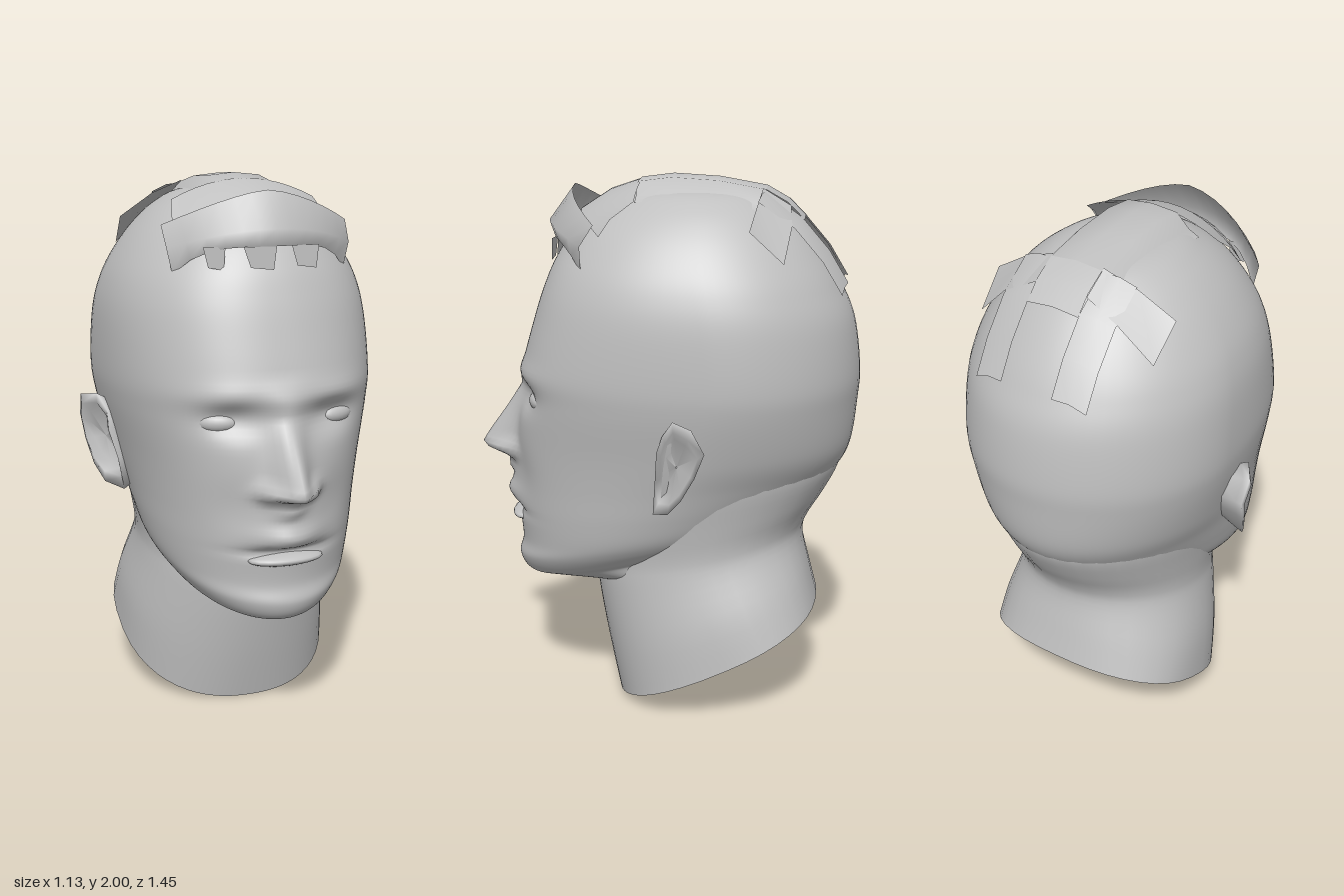
import * as THREE from 'three';

const skin = new THREE.MeshStandardMaterial({ color: 0xc0c0c0, side: THREE.DoubleSide });
skin.name = 'plain grey';

// Skin a surface over rows of [x, y, z] points; closed rows wrap around.
function surface(name, rows, closed = false) {
  const n = rows[0].length, cols = closed ? n : n - 1, index = [];
  for (let j = 0; j < rows.length - 1; j++) {
    for (let i = 0; i < cols; i++) {
      const k = (i + 1) % n;
      const a = j * n + i, b = j * n + k, c = (j + 1) * n + k, d = (j + 1) * n + i;
      index.push(a, b, c, a, c, d);
    }
  }
  const g = new THREE.BufferGeometry();
  g.setAttribute('position', new THREE.Float32BufferAttribute(rows.flat(2), 3));
  g.setIndex(index);
  g.computeVertexNormals();
  const mesh = new THREE.Mesh(g, skin);
  mesh.name = name;
  return mesh;
}

// Smooth interpolation through one column of a table
function spline(table, col, t) {
  const i = Math.min(Math.floor(t), table.length - 2), f = t - i;
  const v = (k) => table[Math.max(0, Math.min(table.length - 1, k))][col];
  const a = v(i - 1), b = v(i), c = v(i + 1), d = v(i + 2);
  return b + 0.5 * f * (c - a + f * (2 * a - 5 * b + 4 * c - d + f * (3 * (b - c) + d - a)));
}

// Rings from sections [yFront, yBack, halfWidth, zFront, zBack, zWidest, frontPower, backPower];
// powers above 2 make that half blunter than an ellipse.
function rings(table, sides, steps, relief) {
  const rows = [], count = (table.length - 1) * steps;
  for (let j = 0; j <= count; j++) {
    const [yF, yB, w, zF, zB, zc, pF, pB] = table[0].map((_, c) => spline(table, c, j / steps));
    const row = [];
    for (let i = 0; i < sides; i++) {
      const t = (i / sides) * Math.PI * 2, a = t - 0.4 * Math.sin(t);
      const s = Math.sin(a), front = Math.cos(a) > 0, p = front ? pF : pB, x = w * s;
      const z = zc + ((front ? zF : zB) - zc) * Math.max(0, 1 - Math.abs(s) ** p) ** (1 / p);
      const y = yF + (yB - yF) * (zF - z) / (zF - zB);
      row.push([x, y, z + (front ? relief(x, y) : 0)]);
    }
    rows.push(row);
  }
  return rows;
}

const bump = (x, y, cx, cy, sx, sy) => Math.exp(-(((x - cx) / sx) ** 2) - ((y - cy) / sy) ** 2);

// Nose projection by height: [y, amount, half width]
const NOSE = [[0.86, 0.015, 0.05], [0.915, 0.04, 0.07], [0.94, 0.13, 0.075], [0.96, 0.15, 0.07],
  [0.99, 0.135, 0.06], [1.1, 0.07, 0.055], [1.2, 0.02, 0.06], [1.26, 0.022, 0.08], [1.34, 0, 0.1]];

// Facial relief added to the front of the skull
function face(x, y) {
  const ax = Math.abs(x);
  let d = 0;
  for (let i = 0; i < NOSE.length - 1; i++) {
    const [y0, a0, w0] = NOSE[i], [y1, a1, w1] = NOSE[i + 1];
    if (y >= y0 && y < y1) {
      const f = (y - y0) / (y1 - y0);
      d += (a0 + (a1 - a0) * f) * Math.exp(-((x / (w0 + (w1 - w0) * f)) ** 2));
    }
  }
  d += 0.035 * bump(ax, y, 0.08, 0.95, 0.035, 0.03);   // nostril wings
  d -= 0.04 * bump(ax, y, 0.18, 1.19, 0.1, 0.055);     // eye sockets
  d -= 0.012 * bump(ax, y, 0.18, 0.88, 0.08, 0.1);     // hollows beside the mouth
  d += 0.012 * bump(ax, y, 0.2, 1.275, 0.13, 0.04);    // brows
  d += 0.045 * bump(x, y, 0, 0.78, 0.11, 0.045);       // upper lip
  d += 0.02 * bump(x, y, 0, 0.86, 0.08, 0.04);         // lip groove
  d -= 0.035 * bump(x, y, 0, 0.725, 0.14, 0.016);      // mouth crease
  return d;
}

// Under-chin opening, jaw, face and skull
const HEAD = [
  [0.455, 0.72, 0.29, 0.25, -0.4, 0.02, 2, 2], [0.455, 0.72, 0.29, 0.48, -0.42, 0.04, 2, 2],
  [0.47, 0.73, 0.315, 0.55, -0.44, 0.05, 2, 2], [0.53, 0.75, 0.352, 0.58, -0.47, 0.06, 2, 2],
  [0.6, 0.79, 0.38, 0.565, -0.51, 0.05, 2, 2], [0.72, 0.84, 0.403, 0.575, -0.57, 0.02, 2, 2],
  [0.85, 0.92, 0.425, 0.58, -0.65, -0.04, 2.05, 2], [1, 1.02, 0.455, 0.57, -0.7, -0.13, 2.2, 2],
  [1.18, 1.18, 0.492, 0.545, -0.72, -0.18, 2.35, 2], [1.3, 1.3, 0.503, 0.535, -0.725, -0.19, 2.4, 2],
  [1.48, 1.48, 0.495, 0.485, -0.7, -0.17, 2.35, 2], [1.6, 1.6, 0.47, 0.445, -0.65, -0.15, 2.3, 2],
  [1.7, 1.7, 0.425, 0.4, -0.59, -0.13, 2.2, 2], [1.8, 1.8, 0.355, 0.33, -0.51, -0.12, 2.1, 2],
  [1.88, 1.88, 0.27, 0.23, -0.42, -0.12, 2, 2], [1.93, 1.93, 0.17, 0.11, -0.31, -0.11, 2, 2],
  [1.945, 1.945, 0.001, -0.1, -0.102, -0.101, 2, 2]];

// Neck, running up the nape into the back of the skull
const NECK = [
  [0, 0.39, 0.42, 0.175, -0.59, -0.26, 2.3, 2.5], [0.22, 0.51, 0.405, 0.225, -0.56, -0.2, 2.1, 2.3],
  [0.44, 0.65, 0.365, 0.265, -0.53, -0.14, 2, 2.1], [0.53, 0.73, 0.357, 0.265, -0.55, -0.14, 2, 2],
  [0.66, 0.83, 0.37, 0.24, -0.61, -0.14, 2, 2], [0.82, 0.94, 0.39, 0.2, -0.664, -0.15, 2, 2],
  [0.98, 1.04, 0.4, 0.15, -0.67, -0.16, 2, 2]];

// Ear rim [z, y, x], front edge round to the top
const EAR = [[-0.05, 1.13, 0.49], [-0.03, 1.07, 0.49], [-0.02, 0.95, 0.46], [-0.01, 0.83, 0.44],
  [-0.07, 0.85, 0.5], [-0.12, 0.91, 0.53], [-0.17, 1, 0.55], [-0.205, 1.09, 0.56],
  [-0.16, 1.175, 0.565], [-0.09, 1.19, 0.52]];

function ear(side) {
  const ring = (scale, toX) => {
    const r = EAR.map(([z, y, x]) => [side * toX(x), 1.02 + (y - 1.02) * scale, -0.1 + (z + 0.1) * scale]);
    return side < 0 ? r.reverse() : r;
  };
  return surface(side > 0 ? 'leftEar' : 'rightEar', [
    ring(0.72, () => 0.42), ring(0.9, (x) => x - 0.03), ring(1, (x) => x),
    ring(0.78, (x) => x), ring(0.6, (x) => x - 0.03), ring(0.02, () => 0.485)], true);
}

function ellipsoid(name, pos, scale, turn = 0) {
  const m = new THREE.Mesh(new THREE.SphereGeometry(1, 20, 12), skin);
  m.name = name;
  m.position.set(...pos);
  m.scale.set(...scale);
  m.rotation.y = turn;
  return m;
}

// Row of points across the head, u running from -1 to 1
const across = (fn, n = 12) => Array.from({ length: n + 1 }, (_, i) => fn(-1 + (2 * i) / n));

export function createModel() {
  const model = new THREE.Group();
  model.name = 'head';

  model.add(surface('skullAndFace', rings(HEAD, 96, 8, face), true));
  model.add(surface('neck', rings(NECK, 48, 4, () => 0), true));
  model.add(ellipsoid('lowerLip', [0, 0.695, 0.54], [0.14, 0.024, 0.062]));

  // Curved front crest with a ragged lower edge
  model.add(surface('frontCrest', [
    across((u) => [0.32 * u, 1.77 - 0.1 * u ** 4, 0.41 - 0.15 * u * u]),
    across((u) => [0.34 * u, 1.83 - 0.07 * u * u, 0.43 - 0.17 * u * u]),
    across((u) => [0.345 * u, 1.955 - 0.12 * Math.abs(u) ** 1.5, 0.34 - 0.13 * u * u])]));
  for (const [x, w] of [[-0.2, 0.04], [-0.05, 0.06], [0.12, 0.05]]) {
    const z = 0.415 - 1.2 * x * x;
    model.add(surface('crestTooth', [
      [[x - w * 0.6, 1.7, z], [x + w * 0.8, 1.69, z]],
      [[x - w, 1.77, z - 0.005], [x + w, 1.77, z - 0.005]]]));
  }

  // Flap behind the crest
  model.add(surface('frontFlap', [
    across((u) => [0.3 * u, 1.87 - 0.08 * u * u, 0.31 - 0.11 * u * u]),
    across((u) => [0.29 * u, 1.94 - 0.09 * u * u, 0.2 - 0.04 * u * u]),
    across((u) => [0.27 * u, 1.98 - 0.07 * u * u, 0.08])]));

  // Raised band along the top
  const spine = [[0.09, 1.98], [-0.03, 1.995], [-0.2, 1.985], [-0.37, 1.955]];
  model.add(surface('topBand', spine.map(([z, y]) =>
    [[-0.19, y - 0.08, z], [-0.15, y - 0.06, z], [-0.1, y - 0.01, z], [0, y, z],
      [0.1, y - 0.01, z], [0.15, y - 0.06, z], [0.19, y - 0.08, z]])));
  model.add(surface('topBandEnd', [[-0.37, 1.955], [-0.45, 1.91], [-0.51, 1.85]].map(([z, y]) =>
    [[-0.1, y - 0.01, z], [0, y, z], [0.1, y - 0.01, z]])));

  for (const s of [1, -1]) {
    const side = s > 0 ? 'left' : 'right';
    model.add(ear(s));
    model.add(ellipsoid(side + 'Eye', [s * 0.22, 1.178, 0.442], [0.072, 0.036, 0.038], s * 0.4));

    // Tail strip and side lobe at the back
    const tail = [[-0.37, 1.95], [-0.5, 1.86], [-0.6, 1.745], [-0.67, 1.63]];
    model.add(surface(side + 'TailStrip', tail.map(([z, y]) =>
      [[s * 0.1, y - 0.01, z], [s * 0.16, y - 0.015, z + 0.01], [s * 0.22, y - 0.04, z + 0.02]])));
    model.add(surface(side + 'TailLobe', [
      [[s * 0.1, 1.95, -0.36], [s * 0.1, 1.89, -0.46]],
      [[s * 0.22, 1.905, -0.35], [s * 0.22, 1.83, -0.47]],
      [[s * 0.355, 1.82, -0.33], [s * 0.345, 1.71, -0.45]]]));
  }
  return model;
}
